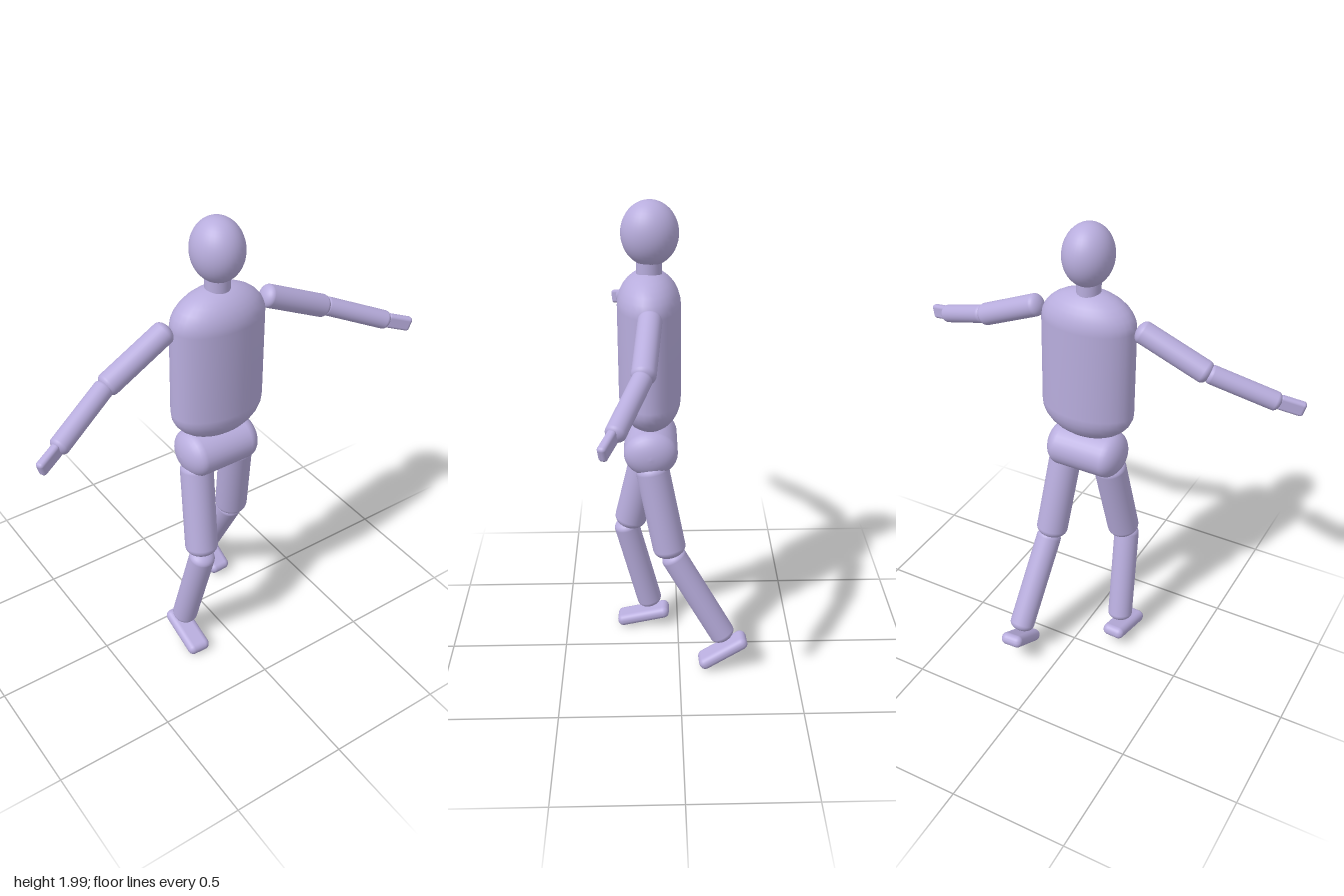
import * as THREE from 'three';
import { RoundedBoxGeometry } from 'three/addons/geometries/RoundedBoxGeometry.js';

const lavender = new THREE.MeshStandardMaterial({ color: 0xb8addd });
lavender.name = 'lavender';

const vec = (p) => new THREE.Vector3(...p);

function addMesh(group, name, geometry) {
  const mesh = new THREE.Mesh(geometry, lavender);
  mesh.name = name;
  group.add(mesh);
  return mesh;
}

// Upright capsule with flattened elliptical caps, centred on the origin
function capsule(radius, length, cap = radius * 0.65) {
  const profile = [];
  const steps = 8;
  for (let end = -1; end <= 1; end += 2) {
    for (let i = 0; i <= steps; i++) {
      const t = (end < 0 ? i : steps - i) / steps * Math.PI / 2;
      const y = end * (length / 2 - cap + cap * Math.cos(t));
      profile.push(new THREE.Vector2(radius * Math.sin(t), y));
    }
  }
  return new THREE.LatheGeometry(profile, 32);
}

// Capsule whose tips lie at a and b
function limb(group, name, a, b, radius) {
  const start = vec(a), end = vec(b);
  const dir = end.clone().sub(start);
  const mesh = addMesh(group, name, capsule(radius, dir.length()));
  mesh.position.copy(start).add(end).multiplyScalar(0.5);
  mesh.quaternion.setFromUnitVectors(new THREE.Vector3(0, 1, 0), dir.normalize());
}

// Rounded slab running from a to b, kept level across its width
function slab(group, name, a, b, height, width, round) {
  const start = vec(a), end = vec(b);
  const x = end.clone().sub(start);
  const mesh = addMesh(group, name, new RoundedBoxGeometry(x.length(), height, width, 4, round));
  x.normalize();
  const z = x.clone().cross(new THREE.Vector3(0, 1, 0)).normalize();
  const y = z.clone().cross(x);
  mesh.quaternion.setFromRotationMatrix(new THREE.Matrix4().makeBasis(x, y, z));
  mesh.position.copy(start).add(end).multiplyScalar(0.5);
}

export function createModel() {
  const model = new THREE.Group();
  model.name = 'mannequin';

  // Head and neck
  const head = addMesh(model, 'head', new THREE.SphereGeometry(1, 32, 24));
  head.scale.set(0.1, 0.125, 0.111);
  head.position.set(0, 1.875, 0.108);
  const neck = addMesh(model, 'neck', new THREE.CylinderGeometry(0.049, 0.049, 0.1, 32));
  neck.position.set(0, 1.73, 0.112);

  // Torso and pelvis: capsules squashed front to back
  const torso = addMesh(model, 'torso', capsule(0.2, 0.65, 0.135));
  torso.scale.z = 0.62;
  torso.position.set(0, 1.405, 0.114);
  const pelvis = addMesh(model, 'pelvis', capsule(0.095, 0.34, 0.065));
  pelvis.rotation.z = Math.PI / 2;
  pelvis.scale.z = 1.14;
  pelvis.position.set(0, 1.005, 0.113);

  // Mirrored arms
  for (const [side, s] of [['left', 1], ['right', -1]]) {
    limb(model, side + 'UpperArm', [s * 0.21, 1.62, 0.108], [s * 0.51, 1.483, 0.137], 0.046);
    limb(model, side + 'Forearm', [s * 0.49, 1.495, 0.133], [s * 0.76, 1.382, 0.237], 0.038);
    slab(model, side + 'Hand', [s * 0.748, 1.388, 0.235], [s * 0.844, 1.357, 0.275], 0.06, 0.033, 0.013);
  }

  // Left leg trails behind with the heel raised
  limb(model, 'leftThigh', [0.098, 0.97, 0.115], [0.137, 0.545, 0.033], 0.068);
  limb(model, 'leftShin', [0.138, 0.57, 0.038], [0.168, 0.15, -0.198], 0.054);
  slab(model, 'leftFoot', [0.169, 0.155, -0.284], [0.178, 0.036, -0.087], 0.053, 0.1, 0.025);

  // Right leg steps forward
  limb(model, 'rightThigh', [-0.098, 0.97, 0.115], [-0.135, 0.545, 0.213], 0.068);
  limb(model, 'rightShin', [-0.139, 0.57, 0.23], [-0.169, 0.112, 0.12], 0.054);
  slab(model, 'rightFoot', [-0.168, 0.085, 0.04], [-0.178, 0.031, 0.27], 0.053, 0.1, 0.025);

  return model;
}
